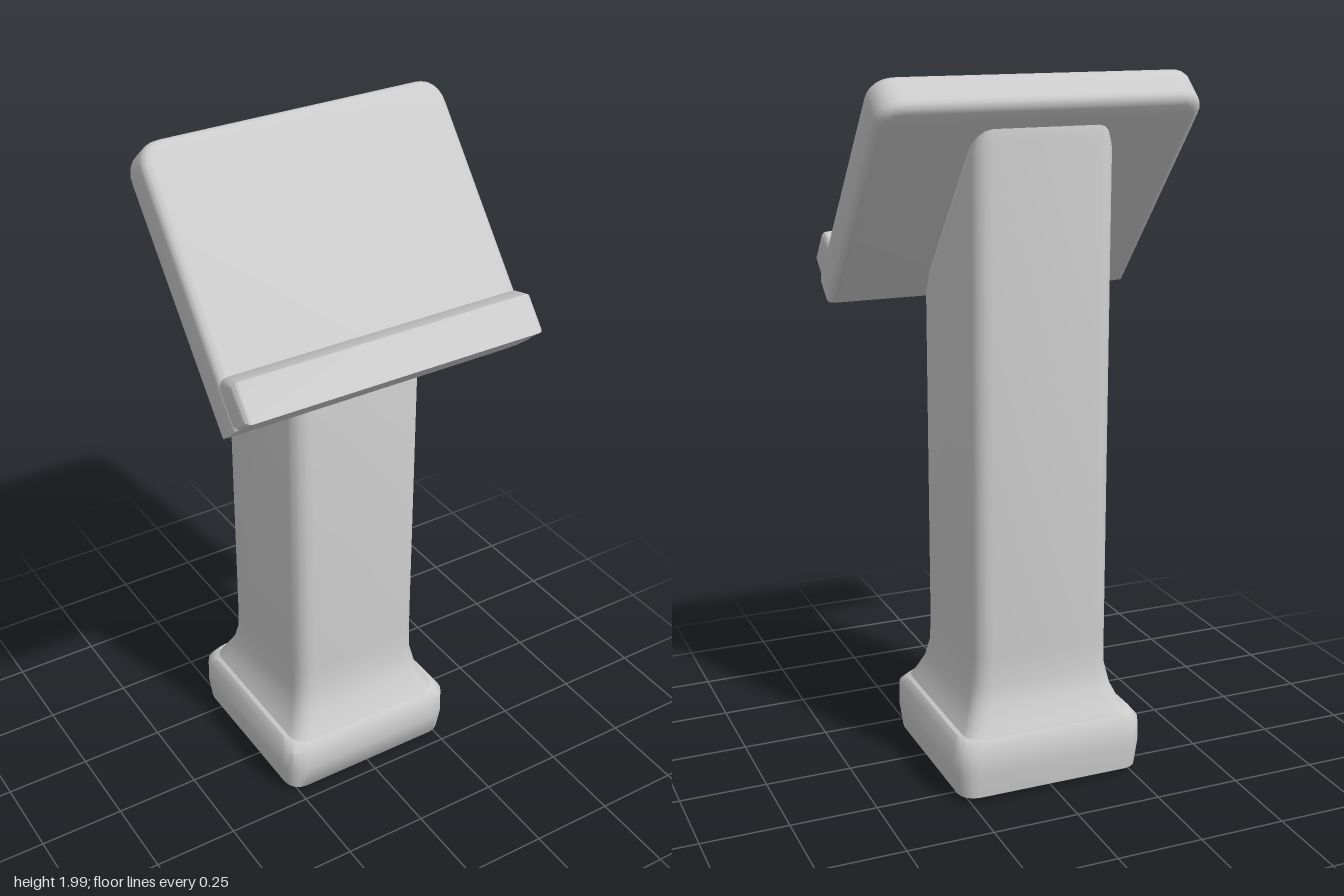
import * as THREE from 'three';
import { toCreasedNormals } from 'three/addons/utils/BufferGeometryUtils.js';

const material = new THREE.MeshStandardMaterial({ color: 0xcccccc });

function part(name, geometry, crease = 0.9) {
  const mesh = new THREE.Mesh(toCreasedNormals(geometry, crease), material);
  mesh.name = name;
  return mesh;
}

// Rounded rectangle in x/z, counter-clockwise seen from above; y may depend on z
function ring(y, halfX, zFront, zBack, radius) {
  const points = [], steps = 4;
  const cz = (zFront + zBack) / 2, halfZ = (zFront - zBack) / 2;
  for (let q = 0; q < 4; q++) {
    const sx = q === 0 || q === 3 ? 1 : -1, sz = q < 2 ? -1 : 1;
    for (let i = 0; i <= steps; i++) {
      const a = (q + i / steps) * Math.PI / 2;
      const x = sx * (halfX - radius) + radius * Math.cos(a);
      const z = cz + sz * (halfZ - radius) - radius * Math.sin(a);
      points.push([x, typeof y === 'function' ? y(z) : y, z]);
    }
  }
  return points;
}

// Skin a stack of rings and close both ends
function loft(rings) {
  const n = rings[0].length, index = [];
  const vertices = rings.flat();
  for (let r = 0; r < rings.length - 1; r++) {
    for (let i = 0; i < n; i++) {
      const a = r * n + i, b = r * n + (i + 1) % n;
      index.push(a, b, b + n, a, b + n, a + n);
    }
  }
  [0, rings.length - 1].forEach((r) => {
    const centre = [0, 1, 2].map((k) => rings[r].reduce((s, p) => s + p[k], 0) / n);
    const c = vertices.push(centre) - 1;
    for (let i = 0; i < n; i++) {
      const a = r * n + i, b = r * n + (i + 1) % n;
      index.push(c, r ? a : b, r ? b : a);
    }
  });
  const geometry = new THREE.BufferGeometry();
  geometry.setAttribute('position', new THREE.Float32BufferAttribute(vertices.flat(), 3));
  geometry.setIndex(index);
  return geometry;
}

export function createModel() {
  const model = new THREE.Group();
  model.name = 'lectern';

  // Soft-edged plinth
  model.add(part('base', loft([
    ring(0.005, 0.25, 0.195, -0.31, 0.05),
    ring(0.02, 0.275, 0.215, -0.335, 0.05),
    ring(0.09, 0.284, 0.226, -0.342, 0.055),
    ring(0.165, 0.283, 0.225, -0.34, 0.055),
    ring(0.188, 0.265, 0.205, -0.325, 0.055),
  ])));

  // Column with a flared foot and a top cut parallel to the desk
  const cut = (z) => 1.575 - 1.2 * z;
  model.add(part('column', loft([
    ring(0.17, 0.262, 0.215, -0.325, 0.05),
    ring(0.21, 0.238, 0.195, -0.308, 0.05),
    ring(0.26, 0.217, 0.17, -0.28, 0.05),
    ring(0.32, 0.206, 0.154, -0.266, 0.05),
    ring(0.4, 0.205, 0.15, -0.265, 0.05),
    ring((z) => cut(z) - 0.06, 0.205, 0.15, -0.265, 0.05),
    ring((z) => cut(z) - 0.025, 0.2, 0.14, -0.26, 0.05),
    ring(cut, 0.175, 0.115, -0.235, 0.035),
  ])));

  // Tilted desk: local y runs up the slope, z points out of its face
  const desk = new THREE.Group();
  desk.name = 'desk';
  desk.position.set(0, 1.337, 0.203);
  desk.rotation.x = -0.693;

  const bevel = 0.025, w = 0.462 - bevel, h = 0.767 - bevel, r = 0.05;
  const outline = new THREE.Shape();
  outline.moveTo(-w, bevel);
  outline.lineTo(w, bevel);
  outline.lineTo(w, h - r);
  outline.quadraticCurveTo(w, h, w - r, h);
  outline.lineTo(-w + r, h);
  outline.quadraticCurveTo(-w, h, -w, h - r);
  const slab = new THREE.ExtrudeGeometry(outline, {
    depth: 0.122 - 2 * bevel, bevelThickness: bevel, bevelSize: bevel, bevelSegments: 3, curveSegments: 6,
  });
  slab.translate(0, 0, bevel);
  desk.add(part('deskTop', slab));

  // Ledge along the lower edge
  const b = 0.018, half = 0.46;
  const profile = new THREE.Shape([
    [0.03, b], [0.182 - b, b], [0.182 - b, 0.118 - b], [0.125, 0.137 - b], [0.03, 0.137 - b],
  ].map(([x, y]) => new THREE.Vector2(x, y)));
  const ledge = new THREE.ExtrudeGeometry(profile, {
    depth: 2 * (half - b), bevelThickness: b, bevelSize: b, bevelSegments: 3,
  });
  ledge.translate(0, 0, b - half);
  ledge.rotateY(-Math.PI / 2);
  desk.add(part('ledge', ledge));

  model.add(desk);
  return model;
}
